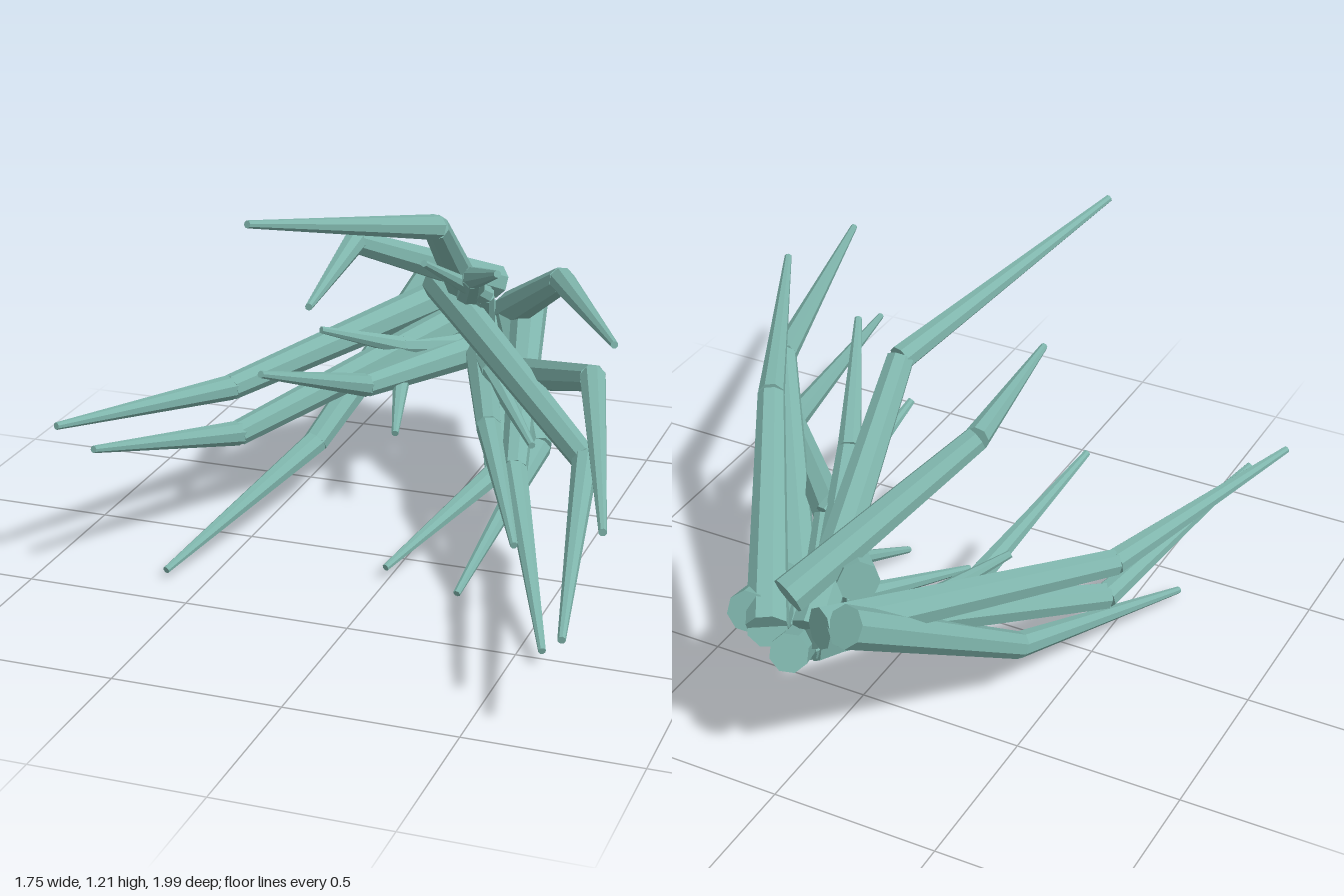
import * as THREE from 'three';

const V = (p) => new THREE.Vector3(...p);

// Spines grow in small bundles: a shared root, then joint and tip (x, y, z each) of every spine
const BUNDLES = [
  { name: 'rightRoot', root: [-0.21, 0.62, -0.95], spines: [[-0.41, 0.21, -0.32, -0.62, 0.035, 0.37]] },
  { name: 'topRoot', root: [-0.06, 0.51, -0.87], spines: [
    [0.02, 0.99, -0.22, -0.25, 1.2, 0.57],
    [-0.58, 0.3, -0.1, -0.77, 0.455, 0.51]] },
  { name: 'sideRoot', root: [-0.12, 0.57, -0.93], spines: [[-0.61, 0.44, -0.12, -0.87, 0.525, 0.54]] },
  { name: 'crossRoot', root: [-0.15, 0.63, -0.77], spines: [[0.58, 0.445, 0.1, 0.765, 0.325, 0.99]] },
  { name: 'upperRoot', root: [0, 0.61, -0.89], spines: [[-0.28, 0.88, -0.34, -0.21, 0.86, 0.23]] },
  { name: 'leftRoot', root: [0.11, 0.54, -0.92], spines: [[0.29, 0.27, -0.17, 0.588, 0.05, 0.54]] },
  { name: 'backLeftRoot', root: [0.05, 0.51, -0.92], spines: [
    [0.38, 0.83, -0.33, 0.71, 0.885, 0.32],
    [0.31, 0.27, -0.37, 0.23, 0.015, 0.2]] },
  { name: 'backRoot', root: [-0.04, 0.48, -0.96], spines: [[0.18, 0.18, -0.34, -0.005, 0.045, 0.16]] },
  { name: 'lowRoot', root: [0.03, 0.34, -0.77], spines: [[0.59, 0.69, 0.08, 0.865, 0.64, 0.995]] },
  { name: 'innerRoot', root: [-0.06, 0.55, -0.78], spines: [[0.08, 0.78, -0.41, 0.28, 0.94, 0]] },
  { name: 'middleRoot', root: [-0.02, 0.41, -0.81], spines: [
    [0.06, 0.67, -0.58, -0.02, 0.87, -0.23],
    [-0.27, 0.39, -0.4, -0.4, 0.6, 0.14],
    [0.21, 0.4, -0.16, 0.455, 0.28, 0.38],
    [0.12, 0.45, -0.48, 0.36, 0.38, -0.11],
    [-0.21, 0.39, -0.58, -0.13, 0.29, -0.28],
    [-0.22, 0.46, -0.6, -0.41, 0.565, -0.38]] },
];

// Tapered eight-sided rod between two points
function rod(name, from, to, r0, r1, material) {
  const dir = to.clone().sub(from);
  const mesh = new THREE.Mesh(new THREE.CylinderGeometry(r1, r0, dir.length(), 8), material);
  mesh.name = name;
  mesh.position.copy(from).addScaledVector(dir, 0.5);
  mesh.quaternion.setFromUnitVectors(new THREE.Vector3(0, 1, 0), dir.normalize());
  return mesh;
}

// Bent spine: thick lower shaft and a pointed end; short spines are thinner
function makeSpine(root, joint, tip, material) {
  const k = Math.min(1, 0.6 + 0.6 * joint.distanceTo(tip));
  const spine = new THREE.Group();
  spine.name = 'spine';
  spine.add(
    rod('lowerShaft', root, joint, 0.06 * k, 0.04 * k, material),
    rod('pointedShaft', joint, tip, 0.039 * k, 0.011, material),
  );
  return spine;
}

export function createModel() {
  const model = new THREE.Group();
  model.name = 'spineCluster';
  const teal = new THREE.MeshStandardMaterial({ color: 0x7fb5ac });
  teal.name = 'paleTeal';
  teal.flatShading = true;

  for (const { name, root, spines } of BUNDLES) {
    const bundle = new THREE.Group();
    bundle.name = name;
    for (const s of spines) {
      bundle.add(makeSpine(V(root), V(s.slice(0, 3)), V(s.slice(3)), teal));
    }
    model.add(bundle);
  }
  return model;
}
